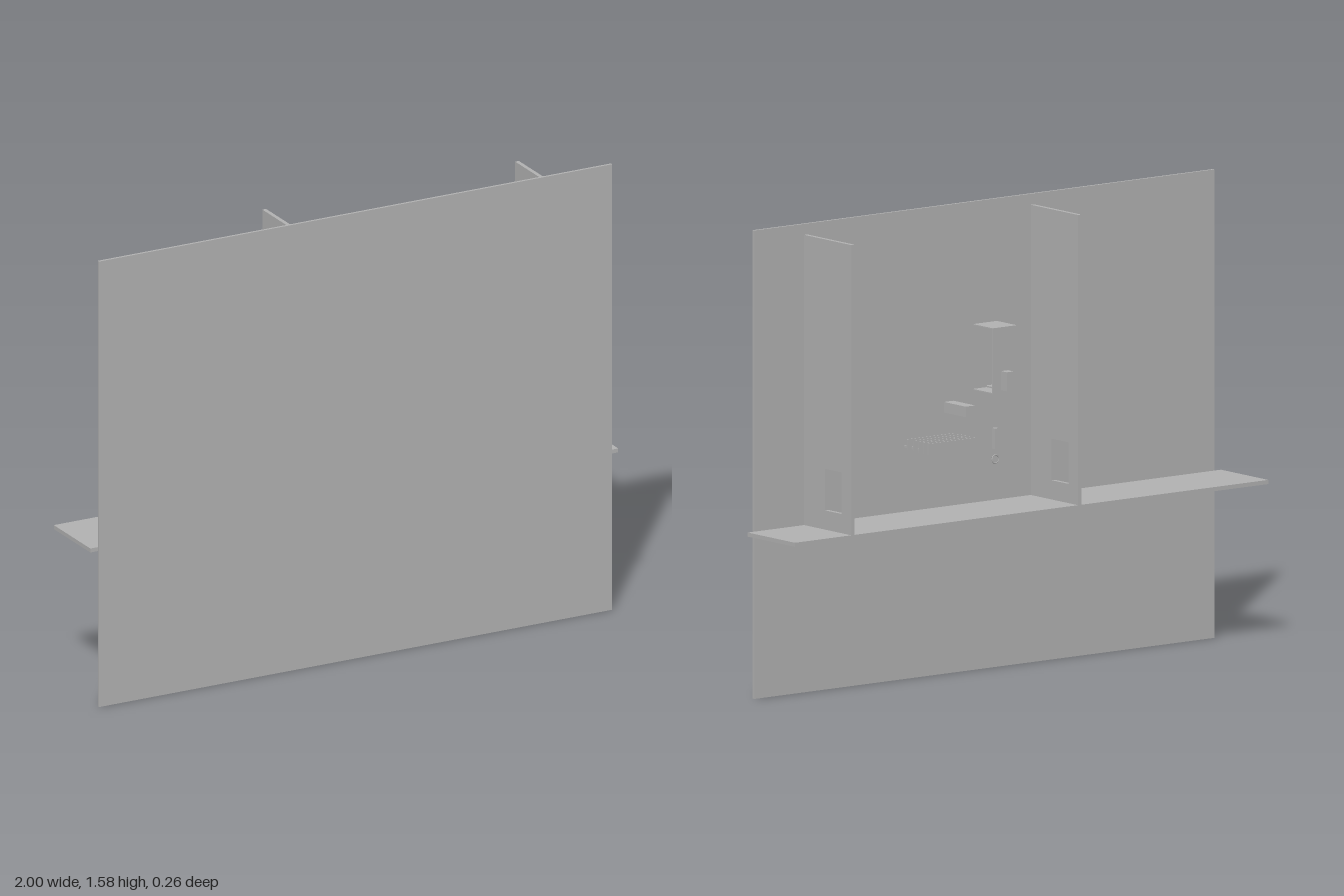
import * as THREE from 'three';

const grey = new THREE.MeshStandardMaterial({ color: 0xb2b2b2 });
grey.name = 'plain grey';

// box given by its min and max corners
function block(parent, name, x0, x1, y0, y1, z0, z1) {
  const mesh = new THREE.Mesh(new THREE.BoxGeometry(x1 - x0, y1 - y0, z1 - z0), grey);
  mesh.position.set((x0 + x1) / 2, (y0 + y1) / 2, (z0 + z1) / 2);
  mesh.name = name;
  parent.add(mesh);
  return mesh;
}

function rect(ShapeType, a0, a1, b0, b1) {
  const s = new ShapeType();
  s.moveTo(a0, b0);
  s.lineTo(a1, b0);
  s.lineTo(a1, b1);
  s.lineTo(a0, b1);
  s.closePath();
  return s;
}

// upright divider with a rectangular opening, drawn in (-z, y)
function divider(parent, name, x) {
  const shape = rect(THREE.Shape, -0.123, 0.132, 0.565, 1.545);
  shape.holes.push(rect(THREE.Path, -0.01, 0.08, 0.63, 0.77));
  const t = 0.014;
  const geometry = new THREE.ExtrudeGeometry(shape, { depth: t, bevelEnabled: false });
  geometry.rotateY(Math.PI / 2);
  geometry.translate(x - t / 2, 0, 0);
  const mesh = new THREE.Mesh(geometry, grey);
  mesh.name = name;
  parent.add(mesh);
}

export function createModel() {
  const model = new THREE.Group();
  model.name = 'wallWithShelf';
  const back = 0.123;

  // main panel, ledge and dividers
  block(model, 'wallPanel', -0.972, 0.972, 0, 1.582, back, 0.132);
  block(model, 'ledge', -1, 1, 0.551, 0.565, -0.132, back);
  divider(model, 'rightDivider', -0.203);
  divider(model, 'leftDivider', 0.755);

  // slatted rack
  const rack = new THREE.Group();
  rack.name = 'slattedRack';
  model.add(rack);
  for (const z of [-0.03, -0.005, 0.019, 0.05, 0.083])
    block(rack, 'slat', 0.15, 0.358, 0.78, 0.817, z - 0.0015, z + 0.0015);
  for (const x of [0.17, 0.338])
    block(rack, 'rackBracket', x - 0.002, x + 0.002, 0.782, 0.79, -0.03, back);

  // small closed box
  block(model, 'smallBox', 0.131, 0.171, 0.882, 0.918, 0.005, back);

  // dispenser: open sides, front plate, top and bottom
  const dispenser = new THREE.Group();
  dispenser.name = 'dispenser';
  model.add(dispenser);
  block(dispenser, 'dispenserFront', -0.053, 0.048, 0.945, 1.168, 0.016, 0.02);
  block(dispenser, 'dispenserTop', -0.053, 0.048, 1.164, 1.168, 0.02, back);
  block(dispenser, 'dispenserBottom', -0.053, 0.048, 0.945, 0.949, 0.02, back);
  block(dispenser, 'spout', -0.016, 0.013, 0.955, 1.02, -0.015, 0.016);
  block(dispenser, 'innerTray', -0.016, 0.013, 0.955, 0.96, 0.02, 0.1);

  // handle piece with a ring below it
  block(model, 'handle', -0.008, 0.008, 0.75, 0.82, 0.056, 0.072);
  const ring = new THREE.Mesh(new THREE.TorusGeometry(0.014, 0.002, 6, 20), grey);
  ring.position.set(0, 0.715, 0.064);
  ring.name = 'ring';
  model.add(ring);

  return model;
}
